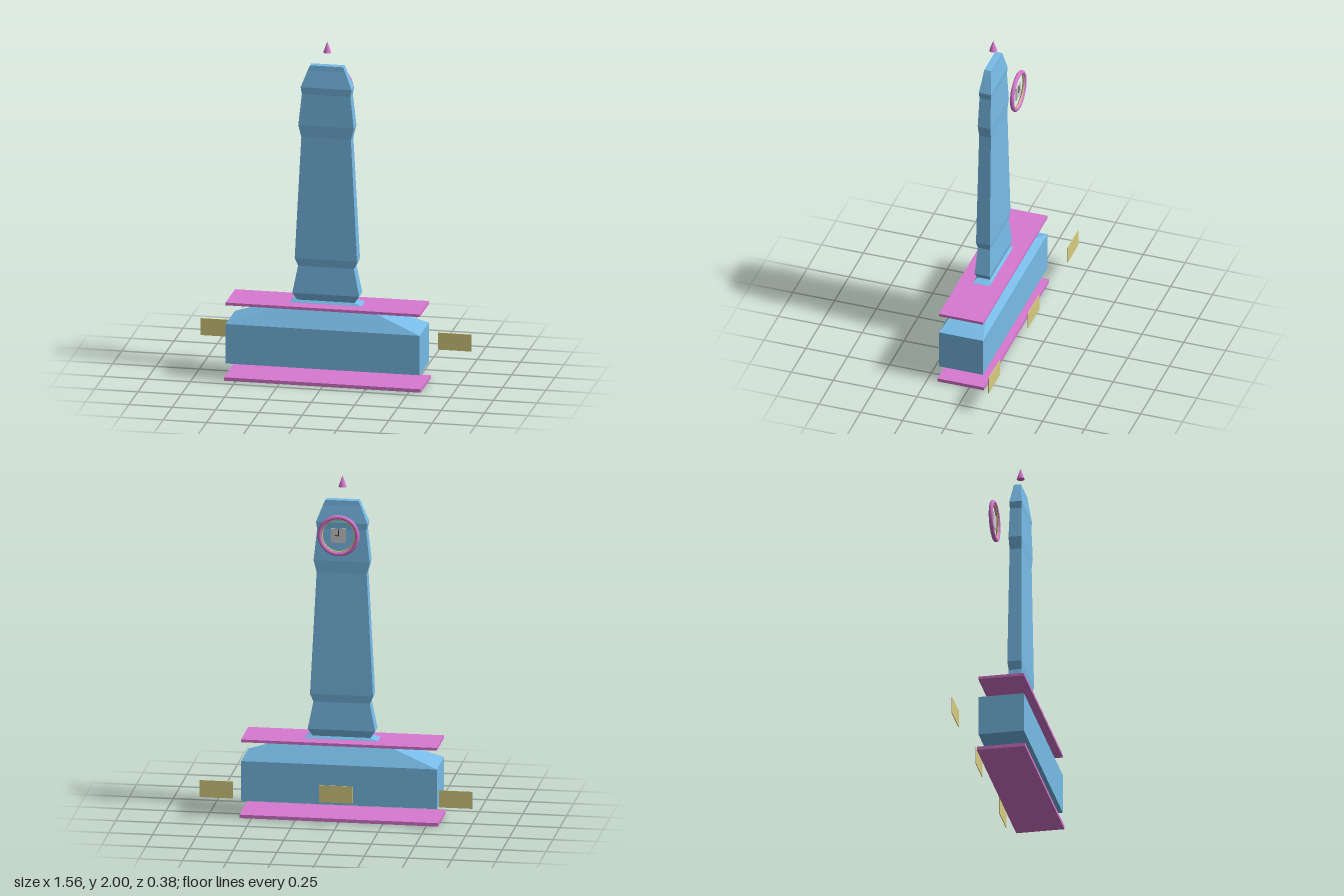
import * as THREE from 'three';

const mat = (color, extra = {}) => new THREE.MeshStandardMaterial({ color, ...extra });
const blue = mat(0x78bce8, { flatShading: true });
const pink = mat(0xd878d0);
const gold = mat(0xd8cc80);
const grey = mat(0xcccccc);
const dark = mat(0x333333);

// Skin over stacked rectangles, each [y, half width, half depth], capped at both ends
function loft(sections) {
  const pos = [], index = [];
  for (const [y, w, d] of sections) pos.push(-w, y, d, w, y, d, w, y, -d, -w, y, -d);
  const n = sections.length;
  for (let i = 0; i < n - 1; i++) {
    for (let k = 0; k < 4; k++) {
      const a = i * 4 + k, b = i * 4 + (k + 1) % 4;
      index.push(a, b, b + 4, a, b + 4, a + 4);
    }
  }
  const t = (n - 1) * 4;
  index.push(0, 2, 1, 0, 3, 2, t, t + 1, t + 2, t, t + 2, t + 3);
  const g = new THREE.BufferGeometry();
  g.setAttribute('position', new THREE.Float32BufferAttribute(pos, 3));
  g.setIndex(index);
  const flat = g.toNonIndexed();
  flat.computeVertexNormals();
  return flat;
}

export function createModel() {
  const model = new THREE.Group();
  const add = (name, geometry, material, x, y, z) => {
    const mesh = new THREE.Mesh(geometry, material);
    mesh.name = name;
    mesh.position.set(x, y, z);
    model.add(mesh);
    return mesh;
  };
  const box = (w, h, d) => new THREE.BoxGeometry(w, h, d);
  const axisZ = 0.052;

  // Wide base with a hipped top
  add('base', loft([
    [0.10, 0.56, 0.131], [0.333, 0.56, 0.131], [0.463, 0.20, 0.048], [0.475, 0.165, 0.038],
  ]), blue, 0, 0, axisZ);

  // Tapering tower with stepped waists
  add('tower', loft([
    [0.474, 0.165, 0.038], [0.515, 0.193, 0.045], [0.675, 0.161, 0.037], [0.72, 0.18, 0.041],
    [1.435, 0.143, 0.035], [1.505, 0.16, 0.038], [1.69, 0.14, 0.034], [1.73, 0.147, 0.036],
    [1.83, 0.108, 0.023], [1.858, 0.095, 0.021],
  ]), blue, 0, 0, axisZ);

  // Flat trim slabs below and around the base
  add('lowerSlab', box(1.136, 0.02, 0.278), pink, 0, 0.01, axisZ);
  add('upperSlab', box(1.12, 0.016, 0.264), pink, 0, 0.452, axisZ);

  // Finial above the tower
  add('finial', new THREE.ConeGeometry(0.023, 0.066, 12), pink, 0, 1.967, axisZ);

  // Row of plaques behind the base
  for (const x of [-0.685, 0, 0.685]) add('plaque', box(0.192, 0.1, 0.004), gold, x, 0.193, -0.188);

  // Clock ring on the back, with inner rim, panel and hands
  const clockZ = -0.098, clockY = 1.688;
  add('clockRing', new THREE.TorusGeometry(0.108, 0.0125, 12, 40), pink, 0, clockY, clockZ);
  add('clockRim', new THREE.TorusGeometry(0.095, 0.005, 8, 40), gold, 0, clockY, clockZ);
  add('clockPanel', box(0.084, 0.084, 0.004), grey, 0, clockY, clockZ);
  add('minuteHand', box(0.005, 0.036, 0.003), dark, 0, clockY + 0.018, clockZ - 0.003);
  add('hourHand', box(0.018, 0.005, 0.003), dark, 0.009, clockY, clockZ - 0.003);

  return model;
}
